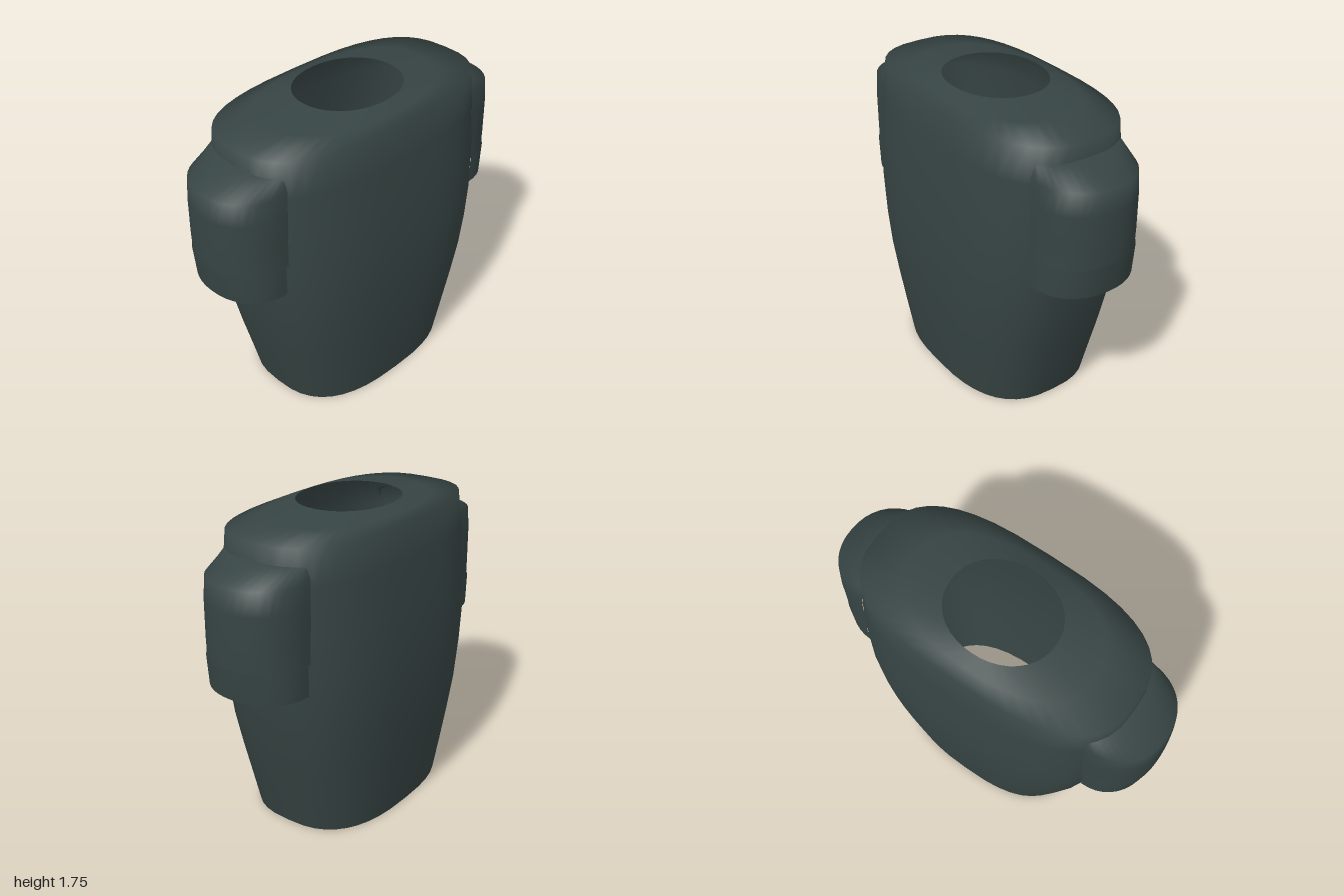
import * as THREE from 'three';

// Skin a grid of points: rows run upward, columns run counter-clockwise seen from above
function loft(rows, columns, closed, pointAt) {
  const positions = [], index = [];
  const stride = closed ? columns : columns + 1;
  rows.forEach((row) => {
    for (let i = 0; i < stride; i++) positions.push(...pointAt(row, i / columns));
  });
  for (let j = 0; j < rows.length - 1; j++) {
    for (let i = 0; i < columns; i++) {
      const a = j * stride + i, b = j * stride + ((i + 1) % stride);
      index.push(a, b, b + stride, a, b + stride, a + stride);
    }
  }
  const geometry = new THREE.BufferGeometry();
  geometry.setAttribute('position', new THREE.Float32BufferAttribute(positions, 3));
  geometry.setIndex(index);
  geometry.computeVertexNormals();
  return geometry;
}

// Signed power used for rounded-rectangle outlines
const bend = (v, n) => Math.sign(v) * Math.pow(Math.abs(v), 2 / n);

export function createModel() {
  const model = new THREE.Group();
  model.name = 'shirt';
  const cloth = new THREE.MeshStandardMaterial({ color: 0x364443, side: THREE.DoubleSide });
  cloth.name = 'dark slate cloth';

  // Torso, open at hem and neck: [height, half width, half depth, outline exponent]
  const torsoRows = [
    [0, 0.58, 0.41, 2.7], [0.2, 0.63, 0.435, 2.7], [0.4, 0.68, 0.455, 2.75],
    [0.6, 0.725, 0.472, 2.8], [0.8, 0.76, 0.48, 2.8], [1.0, 0.785, 0.48, 2.8],
    [1.25, 0.79, 0.465, 2.8], [1.5, 0.788, 0.437, 2.8], [1.69, 0.78, 0.41, 2.8],
    [1.72, 0.55, 0.34, 2.4], [1.75, 0.31, 0.265, 2.1],
  ];
  const torso = new THREE.Mesh(loft(torsoRows, 40, true, ([y, w, d, n], t) => {
    const a = t * Math.PI * 2;
    return [w * bend(Math.cos(a), n), y, -d * bend(Math.sin(a), n)];
  }), cloth);
  torso.name = 'torso';
  model.add(torso);

  // Short sleeve, open at the cuff: [height, inner x, outer x, half depth]
  const sleeveRows = [
    [0.93, 0.725, 0.98, 0.29], [1.1, 0.725, 0.998, 0.29], [1.105, 0.7, 0.998, 0.29],
    [1.2, 0.7, 1.0, 0.29], [1.4, 0.7, 0.995, 0.29], [1.525, 0.69, 0.985, 0.285],
    [1.6, 0.66, 0.79, 0.27], [1.63, 0.6, 0.66, 0.22],
  ];
  const sleeveGeometry = loft(sleeveRows, 20, false, ([y, inner, outer, d], t) => {
    const a = (t - 0.5) * Math.PI;
    return [inner + (outer - inner) * bend(Math.cos(a), 2.2), y, -d * bend(Math.sin(a), 2.2)];
  });
  for (const side of [1, -1]) {
    const sleeve = new THREE.Mesh(sleeveGeometry, cloth);
    sleeve.name = side > 0 ? 'leftSleeve' : 'rightSleeve';
    if (side < 0) sleeve.rotation.y = Math.PI;
    model.add(sleeve);
  }
  return model;
}
